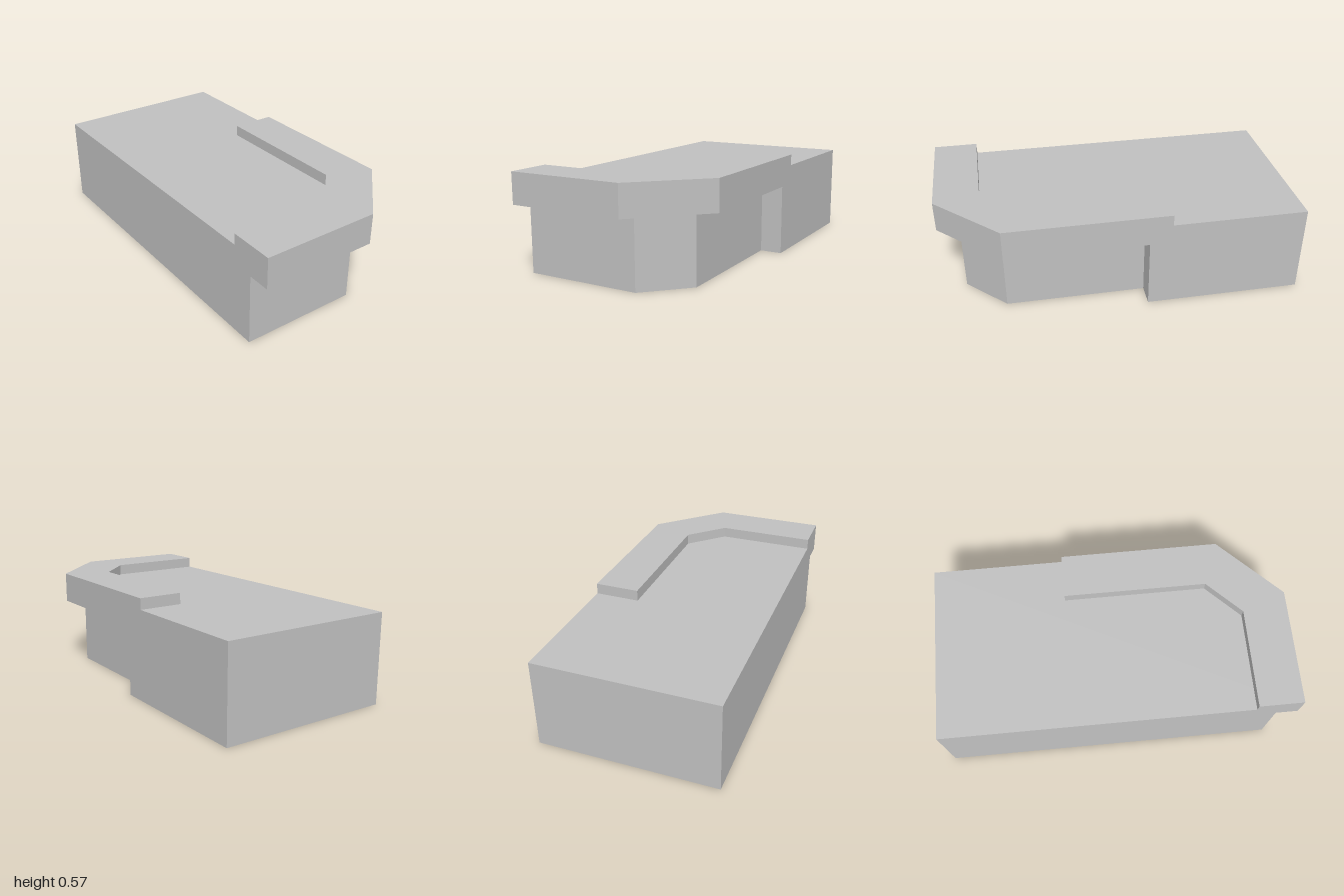
import * as THREE from 'three';

const lightGrey = new THREE.MeshStandardMaterial({ color: 0xc0c0c0 });
lightGrey.name = 'lightGrey';

// Upright prism from a floor plan of [x, z] points, between two heights
function prism(name, plan, bottom, top) {
  const shape = new THREE.Shape(plan.map(([x, z]) => new THREE.Vector2(x, -z)));
  const geometry = new THREE.ExtrudeGeometry(shape, { depth: top - bottom, bevelEnabled: false });
  geometry.rotateX(-Math.PI / 2);
  geometry.translate(0, bottom, 0);
  const mesh = new THREE.Mesh(geometry, lightGrey);
  mesh.name = name;
  return mesh;
}

export function createModel() {
  const group = new THREE.Group();
  group.name = 'building';

  const overhangY = 0.395, roofY = 0.505, parapetY = 0.567;

  // Outer edge of the roof, from the front left-hand corner round the chamfer
  const frontEdge = [[-0.5, 1], [0.155, 1], [0.5, 0.655]];

  // Ground floor, set back at the front and along the front half of one side
  group.add(prism('groundFloor', [
    [-0.5, 0.875], [0.155, 0.875], [0.375, 0.655], [0.375, -0.125],
    [0.5, -0.125], [0.5, -1], [-0.5, -1],
  ], 0, overhangY));

  // Roof slab overhanging the set-back walls
  group.add(prism('roofSlab', [...frontEdge, [0.5, -1], [-0.5, -1]], overhangY, roofY));

  // Raised band along the overhanging edges
  group.add(prism('raisedBand', [
    ...frontEdge, [0.5, -0.25], [0.25, -0.25], [0.25, 0.56], [0.06, 0.75], [-0.5, 0.75],
  ], roofY, parapetY));

  return group;
}
